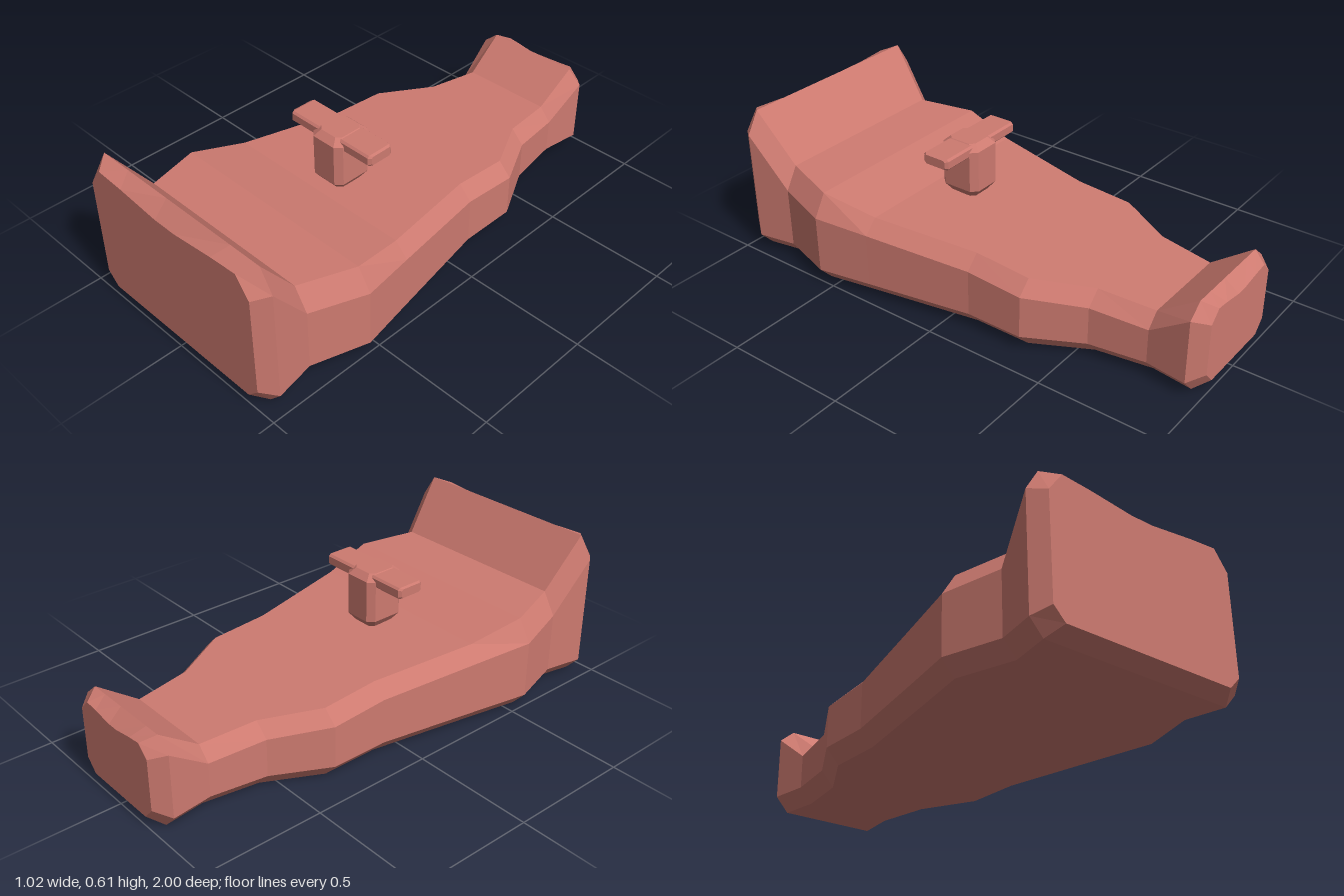
import * as THREE from 'three';

const material = new THREE.MeshStandardMaterial({ color: 0xcd7a70, flatShading: true });

// Skin a series of rings, each counterclockwise seen from the far end, and cap both ends
function loft(name, rings) {
  const pos = [];
  const tri = (a, b, c) => [a, b, c].forEach((p) => pos.push(p.x, p.y, p.z));
  const n = rings[0].length;
  const centre = (r) => r.reduce((s, p) => s.add(p), new THREE.Vector3()).divideScalar(n);
  const first = rings[0], last = rings[rings.length - 1];
  const c0 = centre(first), c1 = centre(last);
  for (let j = 0; j < n; j++) {
    const k = (j + 1) % n;
    for (let i = 0; i < rings.length - 1; i++) {
      const lo = rings[i], hi = rings[i + 1];
      tri(lo[j], lo[k], hi[k]);
      tri(lo[j], hi[k], hi[j]);
    }
    tri(c0, first[k], first[j]);
    tri(c1, last[j], last[k]);
  }
  const geo = new THREE.BufferGeometry();
  geo.setAttribute('position', new THREE.Float32BufferAttribute(pos, 3));
  geo.computeVertexNormals();
  const mesh = new THREE.Mesh(geo, material);
  mesh.name = name;
  return mesh;
}

// Corner-cut rectangle as [u, v] pairs, counterclockwise
const cutRect = (a, b, cut) => [
  [a, -b + cut], [a, b - cut], [a - cut, b], [-a + cut, b],
  [-a, b - cut], [-a, -b + cut], [-a + cut, -b], [a - cut, -b],
];

// Hull section: bottom, chamfer, side, chamfer, and a deck edge that may dip in the middle
function hullRing([z, w, wb, wt, yb, yl, yu, yt, dip]) {
  const half = [
    [wb, yb], [w, yl], [w, yu], [wt, yt],
    [wt * 0.66, yt - dip * 0.3], [wt * 0.14, yt - dip],
  ];
  const mirrored = half.map(([x, y]) => [-x, y]).reverse();
  return [...half, ...mirrored].map(([x, y]) => new THREE.Vector3(x, y, z));
}

export function createModel() {
  const group = new THREE.Group();
  group.name = 'boat';

  // Hull from stern to bow: z, side, bottom and deck half widths, four heights, dip
  const sections = [
    [-1.0, 0.21, 0.165, 0.165, 0.04, 0.09, 0.3, 0.345, 0.02],
    [-0.945, 0.26, 0.205, 0.2, 0, 0.06, 0.32, 0.372, 0],
    [-0.78, 0.24, 0.185, 0.19, 0, 0.06, 0.2, 0.255, 0],
    [-0.555, 0.275, 0.22, 0.22, 0, 0.06, 0.216, 0.271, 0],
    [-0.335, 0.39, 0.335, 0.335, 0, 0.06, 0.232, 0.287, 0],
    [-0.1, 0.39, 0.335, 0.335, 0, 0.06, 0.248, 0.304, 0],
    [0.33, 0.468, 0.413, 0.413, 0, 0.06, 0.279, 0.335, 0],
    [0.555, 0.51, 0.455, 0.455, 0, 0.06, 0.295, 0.385, 0],
    [0.78, 0.44, 0.385, 0.385, 0, 0.06, 0.31, 0.4, 0],
    [0.94, 0.47, 0.415, 0.415, 0, 0.06, 0.52, 0.61, 0],
    [1.0, 0.425, 0.375, 0.365, 0.04, 0.09, 0.505, 0.585, 0.03],
  ];
  group.add(loft('hull', sections.map(hullRing)));

  // Post with bevelled corners and ends
  const postLevels = [[0.325, 0.68], [0.36, 1], [0.53, 1], [0.555, 0.7]];
  group.add(loft('post', postLevels.map(([y, s]) =>
    cutRect(0.087, 0.078, 0.025).map(([z, x]) => new THREE.Vector3(x * s, y, 0.2 + z * s)))));

  // Crossbar on top of the post
  const barStops = [[-0.21, 0.8], [-0.2, 1], [0.2, 1], [0.21, 0.8]];
  group.add(loft('crossbar', barStops.map(([x, s]) =>
    cutRect(0.023, 0.06, 0.008).map(([y, z]) => new THREE.Vector3(x, 0.529 + y * s, 0.198 + z * s)))));

  return group;
}
